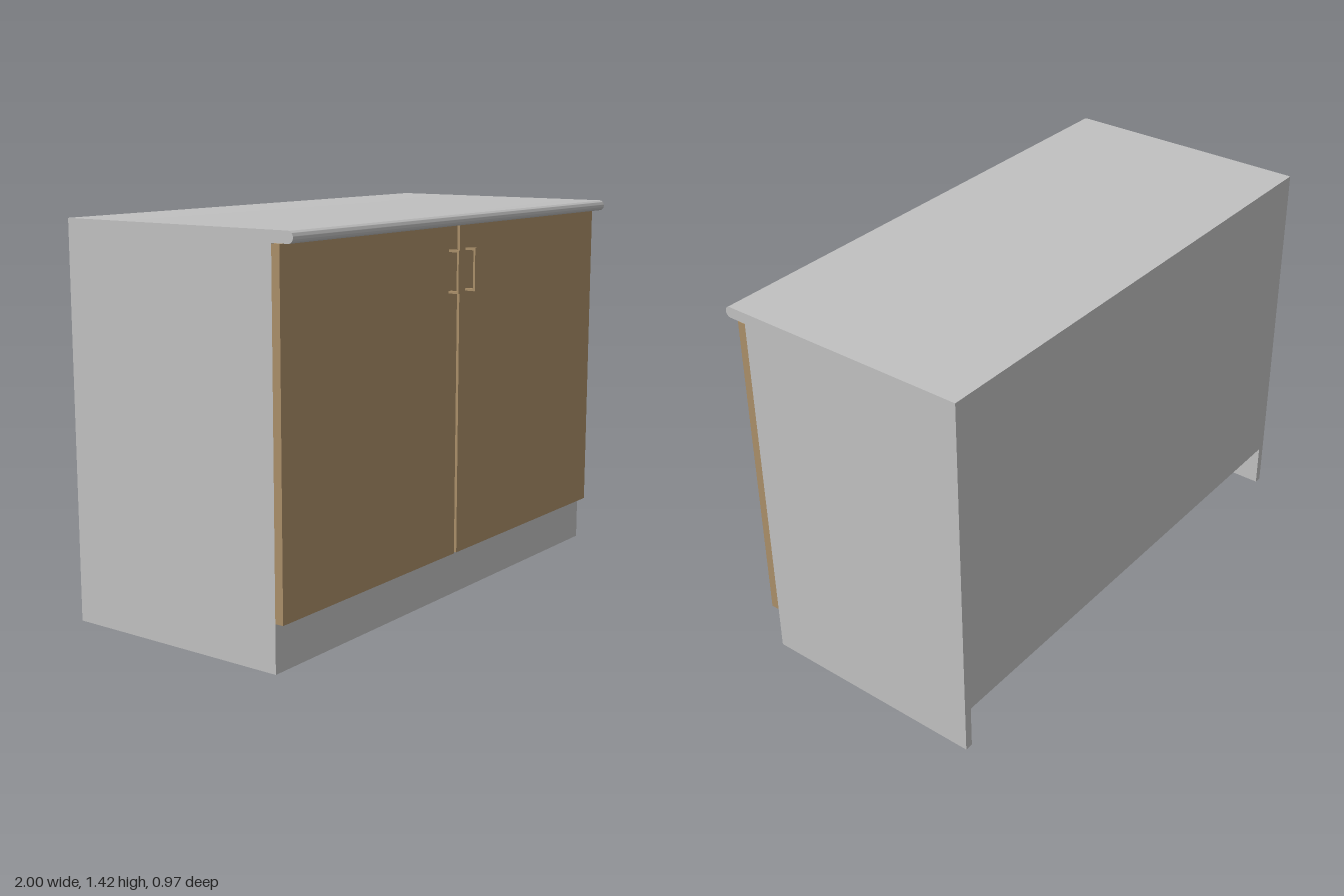
import * as THREE from 'three';
import { toCreasedNormals } from 'three/addons/utils/BufferGeometryUtils.js';

const grey = new THREE.MeshStandardMaterial({ color: 0xc0c0c0 });
grey.name = 'grey laminate';
const wood = new THREE.MeshStandardMaterial({ color: 0xa98e68 });
wood.name = 'wood';

// Box given by its lower and upper corners
function panel(name, material, [x0, y0, z0], [x1, y1, z1]) {
  const mesh = new THREE.Mesh(new THREE.BoxGeometry(x1 - x0, y1 - y0, z1 - z0), material);
  mesh.position.set((x0 + x1) / 2, (y0 + y1) / 2, (z0 + z1) / 2);
  mesh.name = name;
  return mesh;
}

// Worktop slab with a rounded front nose, extruded along x
function worktop(bottom, top, back, front) {
  const r = (top - bottom) / 2;
  const shape = new THREE.Shape();
  shape.moveTo(-back, bottom);
  shape.lineTo(-back, top);
  shape.lineTo(-(front - r), top);
  shape.absarc(-(front - r), bottom + r, r, Math.PI / 2, Math.PI * 1.5, false);
  shape.closePath();
  const slab = new THREE.ExtrudeGeometry(shape, { depth: 2, bevelEnabled: false, curveSegments: 16 });
  slab.rotateY(Math.PI / 2).translate(-1, 0, 0);
  const mesh = new THREE.Mesh(toCreasedNormals(slab, 0.5), grey);
  mesh.name = 'worktop';
  return mesh;
}

// Square bracket handle: a grip bar on two short posts
function handle(name, x) {
  const group = new THREE.Group();
  group.name = name;
  const a = x - 0.009, b = x + 0.009, t = 0.008;
  group.add(
    panel('grip', wood, [a, 1.137, 0.474 - t], [b, 1.291, 0.474]),
    panel('lowerPost', wood, [a, 1.137, 0.432], [b, 1.137 + t, 0.474 - t]),
    panel('upperPost', wood, [a, 1.291 - t, 0.432], [b, 1.291, 0.474 - t])
  );
  return group;
}

export function createModel() {
  const model = new THREE.Group();
  model.name = 'baseCabinet';
  const back = -0.485, front = 0.4, t = 0.03, top = 1.377, floor = 0.17;

  // Hollow carcass
  model.add(
    panel('leftSide', grey, [1 - t, 0, back], [1, top, front]),
    panel('rightSide', grey, [-1, 0, back], [-1 + t, top, front]),
    panel('backPanel', grey, [-1 + t, floor, back], [1 - t, top, back + t]),
    panel('floorPanel', grey, [-1 + t, floor, back + t], [1 - t, floor + t, front]),
    panel('topRail', grey, [-1 + t, top - t, back + t], [1 - t, top, front]),
    panel('plinth', grey, [-1 + t, 0, front - t], [1 - t, floor, front]),
    worktop(top, 1.417, back, 0.485)
  );

  // Pair of doors with handles near the centre gap
  model.add(
    panel('leftDoor', wood, [0.008, floor, front], [1, top - 0.002, 0.432]),
    panel('rightDoor', wood, [-1, floor, front], [-0.008, top - 0.002, 0.432]),
    handle('leftHandle', 0.053),
    handle('rightHandle', -0.055)
  );
  return model;
}
